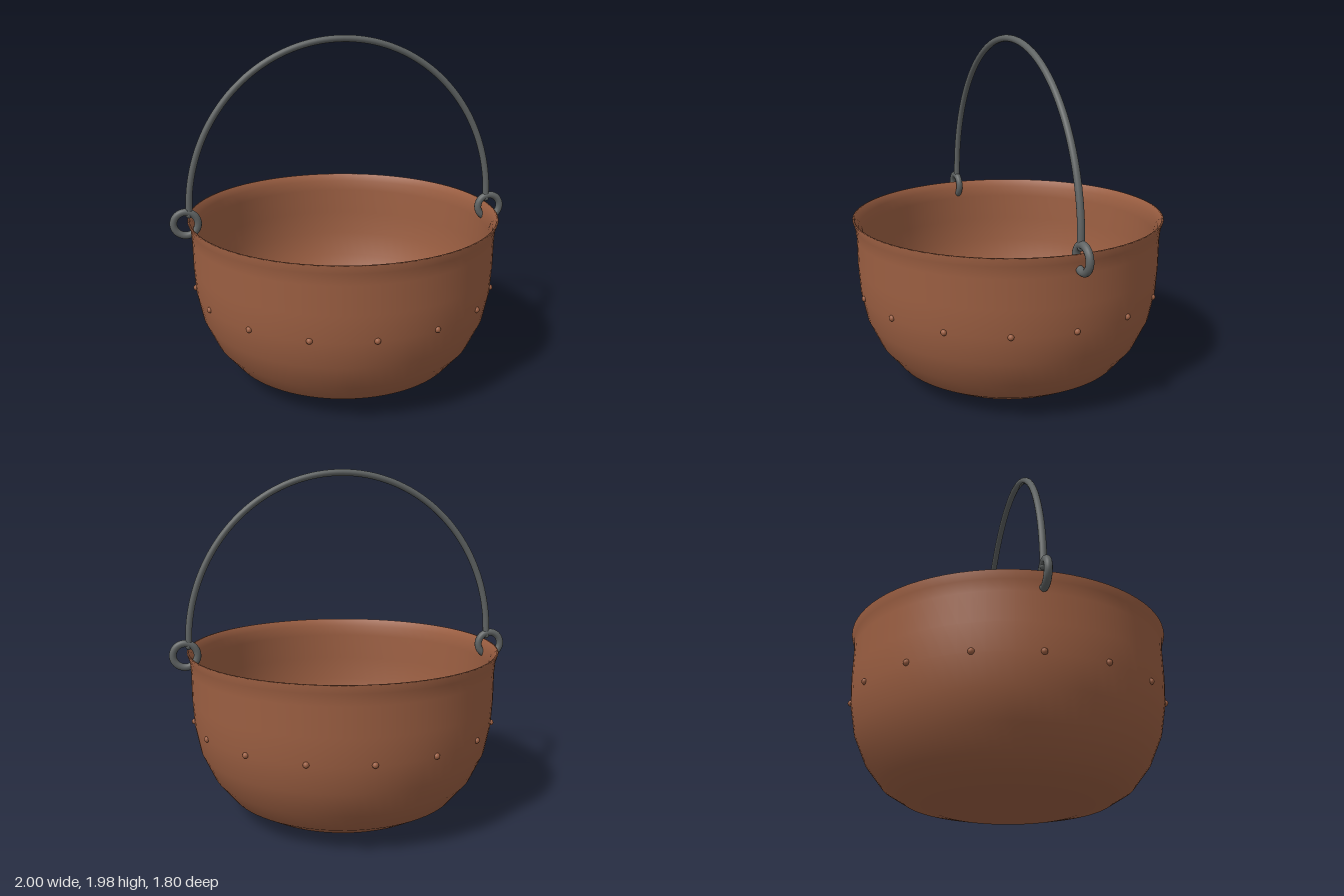
import * as THREE from 'three';

export function createModel() {
  const group = new THREE.Group();
  const copper = new THREE.MeshStandardMaterial({ color: 0x9c5f42 });
  copper.name = 'copper';
  const iron = new THREE.MeshStandardMaterial({ color: 0x5f6363 });
  iron.name = 'iron';

  const add = (name, geometry, material, x = 0, y = 0, z = 0) => {
    const mesh = new THREE.Mesh(geometry, material);
    mesh.name = name;
    mesh.position.set(x, y, z);
    group.add(mesh);
    return mesh;
  };

  // Pot: one closed wall, outside from the base up, over the flared lip and down inside
  const outside = [
    [0, 0], [0.22, 0.005], [0.41, 0.02], [0.565, 0.055], [0.68, 0.125], [0.775, 0.245],
    [0.842, 0.395], [0.872, 0.55], [0.88, 0.7], [0.88, 0.86], [0.886, 0.925], [0.9, 0.968],
  ];
  const inside = [
    [0.888, 0.97], [0.868, 0.925], [0.861, 0.86], [0.86, 0.7], [0.852, 0.55], [0.822, 0.4],
    [0.757, 0.258], [0.667, 0.143], [0.557, 0.075], [0.405, 0.04], [0.22, 0.025], [0, 0.02],
  ];
  const profile = [...outside, ...inside].map(([r, y]) => new THREE.Vector2(r, y));
  add('pot', new THREE.LatheGeometry(profile, 80), copper);

  // Rivets around the belly
  const rivet = new THREE.SphereGeometry(0.017, 12, 8);
  for (let i = 0; i < 16; i++) {
    const a = (i / 16) * Math.PI * 2;
    add('rivet', rivet, copper, Math.sin(a) * 0.871, 0.556, Math.cos(a) * 0.871);
  }

  // Rings piercing the wall below the lip
  const ring = new THREE.TorusGeometry(0.069, 0.021, 14, 40);
  for (const side of [-1, 1]) add(side > 0 ? 'leftRing' : 'rightRing', ring, iron, side * 0.909, 0.949, 0);

  // Bail handle: half an ellipse between the rings
  const arc = [];
  for (let i = 0; i <= 24; i++) {
    const a = (i / 24) * Math.PI;
    arc.push(new THREE.Vector3(Math.cos(a) * 0.888, 1.0 + Math.sin(a) * 0.965, 0));
  }
  add('handle', new THREE.TubeGeometry(new THREE.CatmullRomCurve3(arc), 80, 0.019, 14), iron);

  // Rounded handle ends
  for (const side of [-1, 1]) add('handleEnd', new THREE.SphereGeometry(0.019, 14, 10), iron, side * 0.888, 1.0, 0);

  return group;
}
